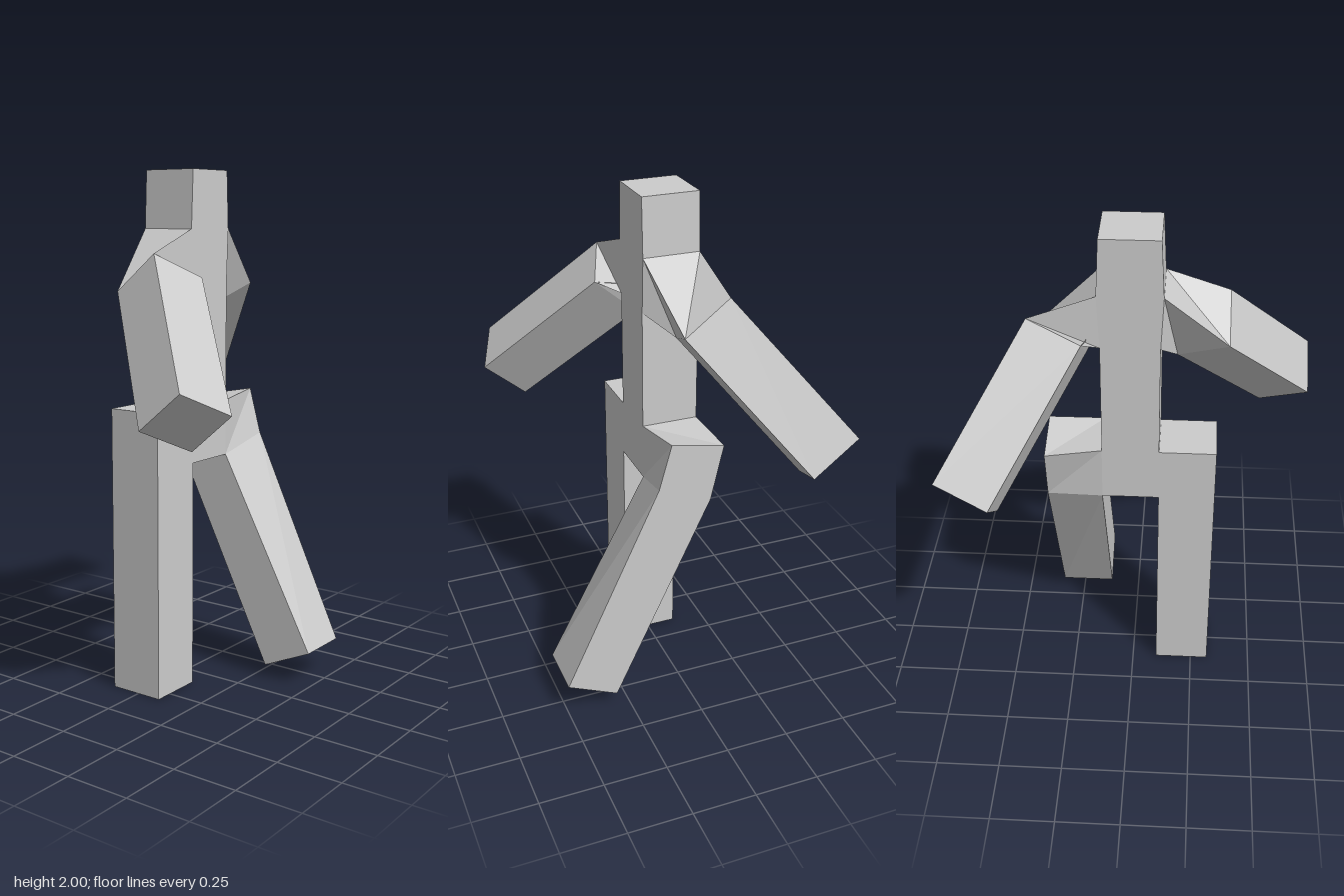
import * as THREE from 'three';

const material = new THREE.MeshStandardMaterial({ color: 0xcccccc, flatShading: true });

// Skins a chain of four-cornered cross-sections into a faceted solid.
function loft(name, loops, capStart = true) {
  const pos = [];
  const tri = (...corners) => corners.forEach((c) => pos.push(...c));
  for (let s = 0; s < loops.length - 1; s++) {
    const a = loops[s], b = loops[s + 1];
    for (let i = 0; i < 4; i++) {
      const j = (i + 1) % 4;
      tri(a[i], b[i], a[j]);
      tri(b[i], b[j], a[j]);
    }
  }
  const cap = ([p, q, r, t]) => { tri(p, q, r); tri(p, r, t); };
  if (capStart) cap(loops[0]);
  cap([...loops[loops.length - 1]].reverse());
  const geometry = new THREE.BufferGeometry();
  geometry.setAttribute('position', new THREE.Float32BufferAttribute(pos, 3));
  geometry.computeVertexNormals();
  const mesh = new THREE.Mesh(geometry, material);
  mesh.name = name;
  return mesh;
}

// Level rectangular section at height y
const F = 0.10, B = -0.12;
const level = (y, x0, x1) => [[x0, y, F], [x1, y, F], [x1, y, B], [x0, y, B]];

// Four-cornered section moved by an offset
const shift = (loop, d) => loop.map((p) => p.map((v, k) => v + d[k]));

export function createModel() {
  const group = new THREE.Group();

  // Head and torso in one column, slightly wider at the shoulders
  group.add(loft('headAndTorso', [
    level(2, -0.10, 0.12),
    level(1.78, -0.11, 0.13),
    level(1.57, -0.10, 0.12),
    level(0.89, -0.10, 0.12),
  ]));

  // Straight standing leg
  group.add(loft('rightLeg', [level(1.11, -0.32, -0.10), level(0.89, -0.32, -0.10), level(0, -0.32, -0.10)]));

  // Leg swung forward, twisted at the hip
  group.add(loft('leftLeg', [
    [[0.12, 1.11, F], [0.34, 1.13, 0.07], [0.34, 1.09, -0.14], [0.12, 1.11, B]],
    [[0.12, 0.89, F], [0.34, 0.95, 0.12], [0.34, 0.87, -0.09], [0.12, 0.89, B]],
    [[0.12, 0.14, 0.50], [0.34, 0.14, 0.50], [0.34, 0.05, 0.30], [0.12, 0.05, 0.30]],
  ]));

  // Arm swung back
  const leftHand = [[0.69, 1.09, -0.33], [0.69, 1.22, -0.50], [0.49, 1.15, -0.56], [0.49, 1.01, -0.38]];
  group.add(loft('leftArm', [
    [[0.13, 1.78, F], [0.13, 1.78, B], [0.12, 1.57, B], [0.12, 1.57, F]],
    shift(leftHand, [-0.31, 0.47, 0.37]),
    leftHand,
  ], false));

  // Arm swung forward
  const rightHand = [[-0.69, 1.12, 0.31], [-0.69, 1.26, 0.48], [-0.50, 1.17, 0.555], [-0.50, 1.03, 0.39]];
  group.add(loft('rightArm', [
    [[-0.11, 1.78, B], [-0.11, 1.78, F], [-0.10, 1.57, F], [-0.10, 1.57, B]],
    shift(rightHand, [0.34, 0.435, -0.37]),
    rightHand,
  ], false));

  return group;
}
